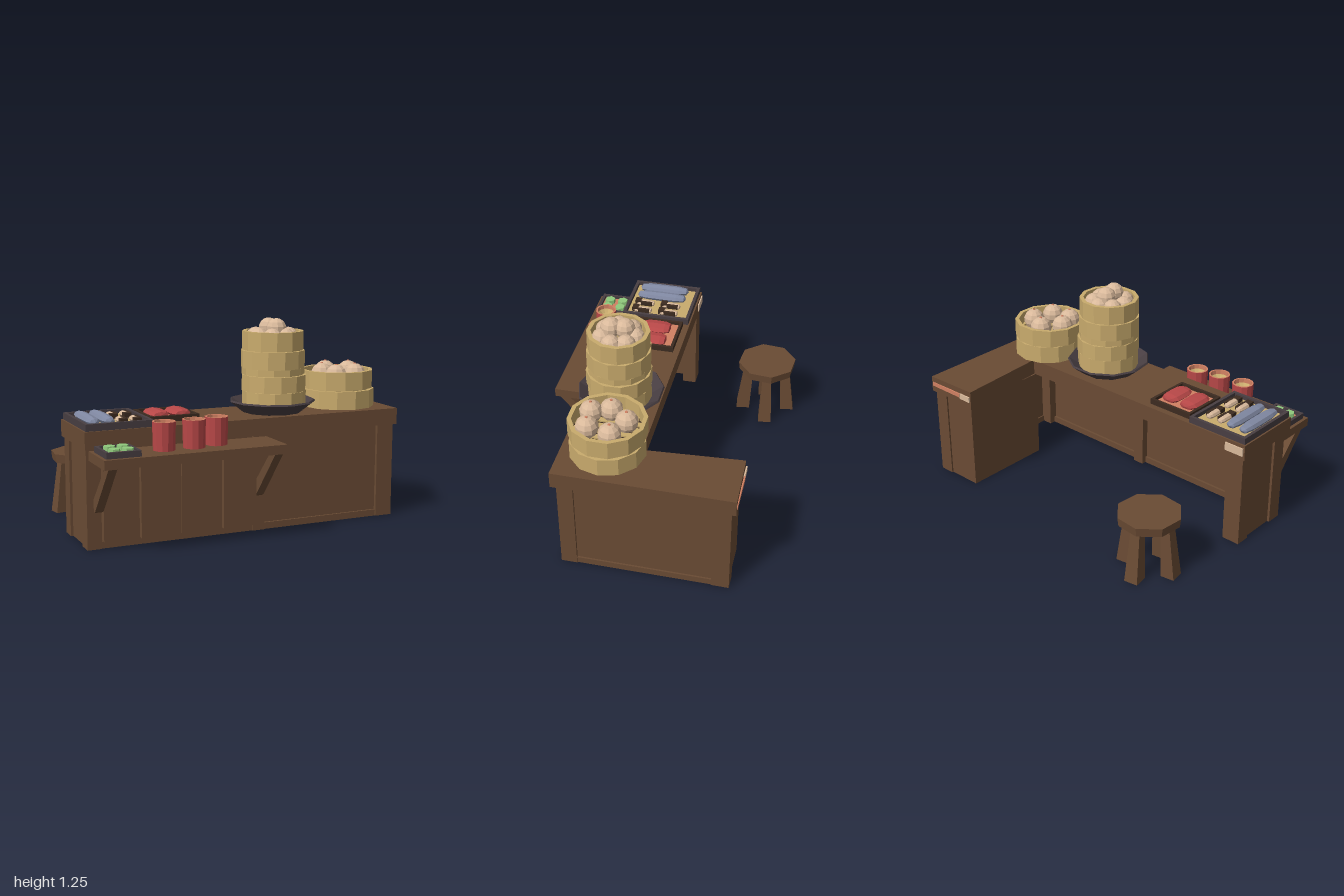
import * as THREE from 'three';

const mat = (name, color) => new THREE.MeshStandardMaterial({ name, color, flatShading: true });

export function createModel() {
  const root = new THREE.Group();
  root.name = 'foodStall';
  const wood = mat('wood', 0x6a4b34), dark = mat('darkWood', 0x3c2b20);
  const bamboo = mat('bamboo', 0xc9ab6d), dough = mat('dough', 0xd9b99b);
  const red = mat('red', 0xb94848), salmon = mat('salmon', 0xd08062);
  const fish = mat('fishSkin', 0x8088a2), green = mat('green', 0x8fca7c);
  const iron = mat('iron', 0x483e42);

  const add = (name, geo, m, x = 0, y = 0, z = 0, parent = root) => {
    const mesh = new THREE.Mesh(geo, m);
    mesh.name = name;
    mesh.position.set(x, y, z);
    parent.add(mesh);
    return mesh;
  };
  // Box given by its limits on each axis
  const box = (name, m, x0, x1, y0, y1, z0, z1, parent = root) =>
    add(name, new THREE.BoxGeometry(x1 - x0, y1 - y0, z1 - z0), m,
      (x0 + x1) / 2, (y0 + y1) / 2, (z0 + z1) / 2, parent);
  const lathe = (pts, n) => new THREE.LatheGeometry(pts.map(p => new THREE.Vector2(...p)), n);
  const shape = pts => new THREE.Shape(pts.map(p => new THREE.Vector2(...p)));
  const group = name => {
    const g = new THREE.Group();
    g.name = name;
    root.add(g);
    return g;
  };

  // L-shaped counter top
  const top = new THREE.ExtrudeGeometry(
    shape([[-1, 0], [0.69, 0], [0.65, -0.59], [1, -0.6], [1, 0.46], [-1, 0.46]]),
    { depth: 0.1, bevelEnabled: false });
  top.rotateX(Math.PI / 2);
  add('counterTop', top, wood, 0, 0.68, 0);

  // Thin counter walls, open at the bottom and at the back
  const body = group('counterBody');
  box('frontPanel', wood, -0.96, 0.97, 0, 0.58, 0.385, 0.405, body);
  box('rightEndPanel', wood, -0.97, -0.95, 0, 0.58, 0.03, 0.4, body);
  box('leftEndPanel', wood, 0.96, 0.98, 0, 0.58, -0.55, 0.4, body);
  box('armBackPanel', wood, 0.68, 0.98, 0, 0.58, -0.565, -0.545, body);
  box('armInnerPanel', wood, 0.68, 0.7, 0, 0.58, -0.56, 0.01, body);
  box('frontBaseboard', wood, -0.9, 0.9, 0, 0.04, 0.37, 0.418, body);
  box('endBaseboard', wood, 0.95, 0.99, 0, 0.04, -0.5, 0.36, body);

  // Posts: x0, x1, z0, z1
  [[0.885, 0.995, 0.33, 0.425], [0.9, 0.995, -0.575, -0.47], [-0.985, -0.9, 0.33, 0.425],
    [-0.985, -0.87, 0.01, 0.1], [0.04, 0.115, 0.34, 0.425]]
    .forEach(([a, b, c, d]) => box('post', wood, a, b, 0, 0.58, c, d, body));

  // Pale paper strips on the back edges
  box('paperStrip', dough, -0.99, -0.865, 0.61, 0.66, -0.008, 0);
  box('paperStrip', dough, 0.655, 0.74, 0.61, 0.645, -0.601, -0.592);
  box('paintStrip', salmon, 0.74, 0.99, 0.62, 0.645, -0.604, -0.595);

  // Front shelf, its brackets and the boards below it
  box('shelf', wood, -0.97, 0.12, 0.513, 0.567, 0.43, 0.705);
  [-0.92, 0.07].forEach(x => {
    const g = new THREE.ExtrudeGeometry(
      shape([[0.7, 0.515], [0.635, 0.515], [0.42, 0.285], [0.42, 0.21], [0.45, 0.225]]),
      { depth: 0.05, bevelEnabled: false });
    g.rotateY(-Math.PI / 2);
    add('shelfBracket', g, wood, x + 0.025, 0, 0);
  });
  [-0.9, -0.68, -0.43, -0.17, 0.045].forEach((x, i, a) => {
    if (i < 4) box('frontBoard', wood, x + 0.004, a[i + 1] - 0.004, 0.045, 0.515, 0.405, i % 2 ? 0.462 : 0.452);
  });

  // Four-legged stool
  const stool = group('stool');
  stool.position.set(-0.73, 0, -0.51);
  const seat = add('seat', new THREE.CylinderGeometry(0.192, 0.185, 0.055, 8), wood, 0, 0.348, 0, stool);
  seat.rotation.y = 0.3;
  for (let i = 0; i < 4; i++) {
    const g = new THREE.BoxGeometry(0.085, 0.32, 0.085);
    const p = g.attributes.position;
    for (let k = 0; k < p.count; k++) {
      const up = p.getY(k) > 0;
      p.setX(k, p.getX(k) * (up ? 0.7 : 1));
      p.setZ(k, p.getZ(k) * (up ? 0.7 : 1) + (up ? 0.12 : 0.15));
    }
    add('leg', g, wood, 0, 0.16, 0, stool).rotation.y = 0.15 + i * Math.PI / 2;
  }

  // Serving tray: floor with a raised rim
  const tray = (name, rimMat, floorMat, x0, x1, y, h, z0, z1, t) => {
    const g = group(name);
    box('floor', floorMat, x0 + 0.01, x1 - 0.01, y, y + 0.015, z0 + 0.01, z1 - 0.01, g);
    box('rim', rimMat, x0, x1, y, y + h, z0, z0 + t, g);
    box('rim', rimMat, x0, x1, y, y + h, z1 - t, z1, g);
    box('rim', rimMat, x0, x0 + t, y, y + h, z0 + t, z1 - t, g);
    box('rim', rimMat, x1 - t, x1, y, y + h, z0 + t, z1 - t, g);
    return g;
  };
  // Rounded food piece lying along z
  const piece = (name, m, parent, x, y, z, w, h, len) => {
    const g = lathe([[0, -0.5], [0.36, -0.46], [0.48, -0.3], [0.5, 0], [0.48, 0.3], [0.36, 0.46], [0, 0.5]], 8);
    g.rotateX(Math.PI / 2);
    g.scale(w, h, len);
    return add(name, g, m, x, y, z, parent);
  };

  const fishTray = tray('fishTray', iron, bamboo, -0.99, -0.59, 0.68, 0.04, 0.01, 0.45, 0.02);
  [-0.92, -0.83].forEach(x => piece('fish', fish, fishTray, x, 0.718, 0.24, 0.078, 0.055, 0.33));
  for (const x of [-0.745, -0.662]) for (const z of [0.16, 0.335]) {
    piece('mushroomStem', dough, fishTray, x, 0.708, z, 0.048, 0.04, 0.13);
    box('mushroomCap', dark, x - 0.026, x + 0.018, 0.7, 0.728, z + 0.025, z + 0.065, fishTray);
    box('mushroomGill', dark, x + 0.008, x + 0.026, 0.7, 0.726, z - 0.05, z + 0.025, fishTray);
  }

  const meatTray = tray('meatTray', dark, salmon, -0.57, -0.27, 0.68, 0.035, 0.04, 0.34, 0.018);
  [-0.485, -0.35].forEach(x => piece('meat', red, meatTray, x, 0.71, 0.195, 0.125, 0.055, 0.19));

  const greenTray = tray('greenTray', iron, salmon, -0.95, -0.75, 0.567, 0.035, 0.47, 0.68, 0.018);
  for (const x of [-0.885, -0.807]) for (const z of [0.53, 0.618])
    add('greenCake', new THREE.CylinderGeometry(0.034, 0.036, 0.03, 6), green, x, 0.595, z, greenTray)
      .rotation.y = Math.PI / 6;

  // Red cups
  [[-0.575, 0.56], [-0.395, 0.56], [-0.245, 0.53]].forEach(([x, z]) => {
    const g = group('cup');
    g.position.set(x, 0.567, z);
    add('cupWall', lathe([[0, 0], [0.063, 0], [0.067, 0.162]], 12), red, 0, 0, 0, g);
    add('cupRim', lathe([[0.067, 0.162], [0.056, 0.162], [0.054, 0.135]], 12), salmon, 0, 0, 0, g);
    add('cupFilling', lathe([[0.054, 0.135], [0.035, 0.115], [0, 0.105]], 12), bamboo, 0, 0, 0, g);
  });

  // Iron pan under the tall steamer
  add('pan', lathe([[0, 0], [0.18, 0], [0.262, 0.065], [0.255, 0.075], [0.17, 0.018], [0, 0.018]], 11),
    iron, 0.25, 0.68, 0.24);

  // Steamer ring, slatted floor and buns
  const ring = (g, r, y0, y1, turn, dx = 0) => {
    const h = y1 - y0, i = r - 0.025;
    add('steamerRing', lathe([[i, 0], [r, 0], [r, h], [i, h], [i, 0]], 12), bamboo, dx, y0, 0, g)
      .rotation.y = turn;
  };
  const slats = (g, r, y) => {
    add('steamerFloor', new THREE.CylinderGeometry(r, r, 0.01, 12), dark, 0, y, 0, g);
    for (let x = -r + 0.03; x < r; x += 0.05) {
      const c = Math.sqrt(r * r - x * x) * 0.96;
      box('slat', bamboo, x - 0.016, x + 0.016, y, y + 0.014, -c, c, g);
    }
  };
  const bun = (g, r, x, y, z) => {
    add('bun', new THREE.SphereGeometry(r, 10, 7), dough, x, y, z, g).rotation.y = x * 20;
  };

  const tall = group('tallSteamer');
  tall.position.set(0.25, 0, 0.245);
  [[0.193, 0.7, 0.81, 0.1, 0.01], [0.197, 0.812, 0.908, 0.3, 0.008], [0.19, 0.91, 0.95, 0.1, 0.002],
    [0.194, 0.95, 1.055, 0.45, 0], [0.186, 1.057, 1.17, 0.2, 0]]
    .forEach(([r, a, b, t, dx]) => ring(tall, r, a, b, t, dx));
  slats(tall, 0.165, 1.08);
  for (let i = 0; i < 7; i++) {
    const a = i * Math.PI * 2 / 7;
    bun(tall, 0.06, Math.sin(a) * 0.1 - 0.005, 1.13, -Math.cos(a) * 0.1);
  }
  bun(tall, 0.062, -0.01, 1.183, -0.038);
  bun(tall, 0.062, 0, 1.185, 0.045);

  const wide = group('wideSteamer');
  wide.position.set(0.725, 0, 0.19);
  ring(wide, 0.224, 0.68, 0.79, 0, 0.008);
  ring(wide, 0.2, 0.785, 0.805, 0);
  ring(wide, 0.228, 0.798, 0.908, 0.26, -0.004);
  slats(wide, 0.2, 0.82);
  [[0.7, 0.085], [0.828, 0.15], [0.793, 0.29], [0.655, 0.305], [0.615, 0.195]].forEach(([x, z]) => {
    bun(wide, 0.068, x - 0.725, 0.882, z - 0.19);
    add('bunDot', new THREE.CylinderGeometry(0.007, 0.01, 0.006, 6), salmon, x - 0.725, 0.95, z - 0.19, wide);
  });

  return root;
}
